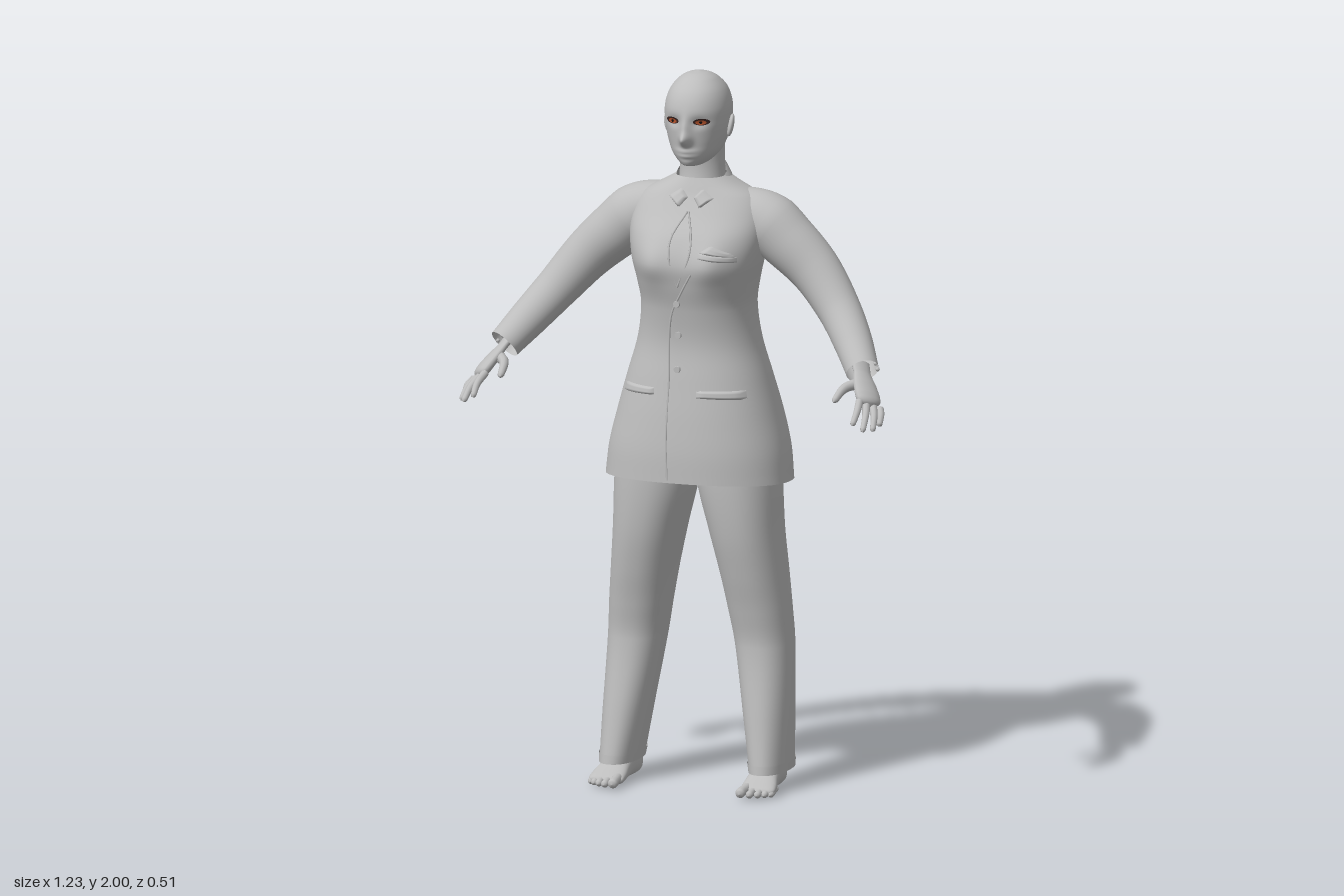
import * as THREE from 'three';
import { mergeVertices } from 'three/addons/utils/BufferGeometryUtils.js';

const mat = (name, color) => Object.assign(new THREE.MeshStandardMaterial({ color }), { name, side: THREE.DoubleSide });
const gauss = (d, s) => Math.exp(-(d * d) / (2 * s * s));
const spow = (v, p) => Math.sign(v) * Math.abs(v) ** p;

// Smoothly interpolate a table of [height, centreX, halfWidth, front, back]
function sectionAt(T, y) {
  let i = 0;
  while (i < T.length - 2 && y > T[i + 1][0]) i++;
  const slope = (k, c) => {
    const a = T[Math.max(k - 1, 0)], b = T[Math.min(k + 1, T.length - 1)];
    return (b[c] - a[c]) / (b[0] - a[0]);
  };
  const h = T[i + 1][0] - T[i][0], t = (y - T[i][0]) / h, t2 = t * t, t3 = t2 * t;
  return [1, 2, 3, 4].map(c => (2 * t3 - 3 * t2 + 1) * T[i][c] + (t3 - 2 * t2 + t) * h * slope(i, c)
    + (3 * t2 - 2 * t3) * T[i + 1][c] + (t3 - t2) * h * slope(i + 1, c));
}

// Skin of superellipse rings through a section table
function loft(T, { n = 2, sides = 48, rows = 6, bump = null, tilt = () => 0 } = {}) {
  const pos = [], idx = [], ys = [];
  for (let i = 0; i < T.length - 1; i++)
    for (let k = 0; k < rows; k++) ys.push(T[i][0] + (T[i + 1][0] - T[i][0]) * k / rows);
  ys.push(T[T.length - 1][0]);
  ys.forEach((y, r) => {
    const [cx, w, zf, zb] = sectionAt(T, y);
    for (let j = 0; j < sides; j++) {
      const a = j / sides * Math.PI * 2, s = spow(Math.sin(a), 2 / n), x = w * spow(Math.cos(a), 2 / n);
      const z = (zf + zb) / 2 + (zf - zb) / 2 * s + (bump && s > 0 ? bump(x, y) * s : 0);
      pos.push(cx + x, y + tilt(y) * Math.sin(a), z);
      if (r < ys.length - 1) {
        const A = r * sides + j, B = r * sides + (j + 1) % sides;
        idx.push(A, A + sides, B, B, A + sides, B + sides);
      }
    }
  });
  const g = new THREE.BufferGeometry();
  g.setAttribute('position', new THREE.Float32BufferAttribute(pos, 3));
  g.setIndex(idx);
  g.computeVertexNormals();
  return g;
}

// Front depth of a lofted form at (x, y)
function frontZ(T, n, bump, x, y) {
  const [cx, w, zf, zb] = sectionAt(T, y);
  const s = Math.max(0, 1 - Math.abs((x - cx) / w) ** n) ** (1 / n);
  return (zf + zb) / 2 + ((zf - zb) / 2 + bump(x, y)) * s;
}

// Tapered tube, optionally rounded at the tip and flattened along a direction
function taper(points, radii, { segs = 24, sides = 16, round = 0, flat = null, k = 1 } = {}) {
  const curve = new THREE.CatmullRomCurve3(points.map(p => new THREE.Vector3(...p)));
  const g = new THREE.TubeGeometry(curve, segs, 1, sides);
  const p = g.attributes.position, v = new THREE.Vector3();
  for (let i = 0; i < p.count; i++) {
    const t = Math.floor(i / (sides + 1)) / segs, c = curve.getPointAt(t);
    const f = t * (radii.length - 1), b = Math.min(Math.floor(f), radii.length - 2);
    let r = radii[b] + (radii[b + 1] - radii[b]) * (f - b);
    if (round && t > 1 - round) r *= Math.sqrt(Math.max(0.001, 1 - ((t - 1 + round) / round) ** 2));
    v.fromBufferAttribute(p, i).sub(c).multiplyScalar(r);
    if (flat) v.addScaledVector(flat, (k - 1) * v.dot(flat));
    p.setXYZ(i, v.x + c.x, v.y + c.y, v.z + c.z);
  }
  g.deleteAttribute('uv');
  g.deleteAttribute('normal');
  const m = mergeVertices(g, 1e-6);
  m.computeVertexNormals();
  return m;
}

const JACKET = [
  [0.86, 0, 0.262, 0.128, -0.25], [0.95, 0, 0.252, 0.124, -0.255], [1.05, 0, 0.228, 0.112, -0.248],
  [1.15, 0, 0.2, 0.095, -0.225], [1.25, 0, 0.171, 0.08, -0.205], [1.35, 0, 0.158, 0.09, -0.202],
  [1.42, 0, 0.168, 0.106, -0.208], [1.48, 0, 0.182, 0.113, -0.21], [1.55, 0, 0.193, 0.088, -0.207],
  [1.61, 0, 0.188, 0.045, -0.19], [1.655, 0, 0.16, 0.015, -0.172], [1.685, 0, 0.105, 0, -0.16],
  [1.705, 0, 0.07, -0.01, -0.15]];
const HEAD = [
  [1.742, 0, 0.004, -0.02, -0.06], [1.746, 0, 0.025, 0.028, -0.08], [1.757, 0, 0.043, 0.044, -0.105],
  [1.78, 0, 0.064, 0.052, -0.13], [1.81, 0, 0.077, 0.055, -0.148], [1.84, 0, 0.085, 0.058, -0.159],
  [1.87, 0, 0.089, 0.062, -0.165], [1.91, 0, 0.089, 0.06, -0.163], [1.95, 0, 0.077, 0.042, -0.146],
  [1.98, 0, 0.053, 0.01, -0.113], [1.994, 0, 0.029, -0.018, -0.083], [2, 0, 0.001, -0.049, -0.051]];
const bust = (x, y) => 0.02 * gauss(Math.abs(x) - 0.09, 0.035) * gauss(y - 1.485, 0.045);
const face = (x, y) => 0.029 * gauss(x, 0.011) * gauss(y - 1.826, 0.013)
  + 0.013 * gauss(x, 0.01) * gauss(y - 1.853, 0.022)
  - 0.009 * gauss(Math.abs(x) - 0.037, 0.016) * gauss(y - 1.873, 0.011)
  + 0.007 * gauss(x, 0.018) * (gauss(y - 1.791, 0.005) + gauss(y - 1.778, 0.005))
  + 0.006 * gauss(x, 0.02) * gauss(y - 1.757, 0.01);
const chestZ = (x, y) => frontZ(JACKET, 2.3, bust, x, y);

export function createModel() {
  const model = new THREE.Group();
  const grey = mat('plainGrey', 0xbdbdbd), dark = mat('lashDark', 0x3a2523);
  const amber = mat('irisAmber', 0xb5532c), black = mat('pupilBlack', 0x141010);
  const add = (name, geo, m = grey) => {
    const o = new THREE.Mesh(geo, m);
    o.name = name;
    model.add(o);
    return o;
  };
  // Thin panel laid on the chest, corners in order around it
  const panel = (name, c, off) => {
    const g = new THREE.PlaneGeometry(1, 1, 10, 6), p = g.attributes.position;
    for (let i = 0; i < p.count; i++) {
      const u = p.getX(i) + 0.5, v = p.getY(i) + 0.5;
      const at = k => (c[0][k] * (1 - u) + c[1][k] * u) * (1 - v) + (c[3][k] * (1 - u) + c[2][k] * u) * v;
      const edge = u < 0.01 || u > 0.99 || v < 0.01 || v > 0.99;
      p.setXYZ(i, at(0), at(1), chestZ(at(0), at(1)) + (edge ? 0 : off));
    }
    g.computeVertexNormals();
    add(name, g);
  };
  const seam = (name, pts) => add(name, new THREE.TubeGeometry(new THREE.CatmullRomCurve3(
    pts.map(([x, y]) => new THREE.Vector3(x, y, chestZ(x, y)))), 40, 0.003, 6));
  // Oval laid on the face
  const faceOval = (name, cx, cy, rx, ry, off, m) => {
    const g = new THREE.RingGeometry(0, 1, 24, 4), p = g.attributes.position;
    for (let i = 0; i < p.count; i++) {
      const x = cx + p.getX(i) * rx, y = cy + p.getY(i) * ry;
      p.setXYZ(i, x, y, frontZ(HEAD, 2.1, face, x, y) + off);
    }
    g.computeVertexNormals();
    add(name, g, m);
  };

  // Head and neck
  add('head', loft(HEAD, { n: 2.1, sides: 128, rows: 8, bump: face }));
  add('neck', loft([[1.65, 0, 0.07, -0.005, -0.15], [1.7, 0, 0.064, -0.018, -0.146],
    [1.75, 0, 0.062, -0.02, -0.142], [1.82, 0, 0.064, -0.01, -0.142]]));

  // Jacket body, collar and details
  add('jacketBody', loft(JACKET, { n: 2.3, sides: 96, bump: bust, tilt: y => 0.012 * Math.max(0, 1 - (y - 0.86) / 0.15) }));
  add('collar', loft([[1.665, 0, 0.094, 0.022, -0.168], [1.69, 0, 0.082, 0.008, -0.16], [1.712, 0, 0.07, -0.008, -0.149]],
    { tilt: () => -0.032 }));
  seam('frontEdge', [[0.035, 1.46], [0, 1.4], [-0.033, 1.33], [-0.036, 1.15], [-0.036, 1], [-0.03, 0.88]]);
  seam('necklineRight', [[-0.002, 1.62], [-0.033, 1.55], [-0.03, 1.5], [-0.008, 1.42]]);
  seam('necklineLeft', [[0.002, 1.62], [0.026, 1.55], [0.025, 1.5], [-0.008, 1.42]]);
  panel('pocketFlapRight', [[-0.19, 1.105], [-0.08, 1.11], [-0.08, 1.13], [-0.185, 1.13]], 0.007);
  panel('pocketFlapLeft', [[0.045, 1.11], [0.175, 1.105], [0.17, 1.13], [0.045, 1.13]], 0.007);
  panel('breastPocket', [[0.055, 1.505], [0.15, 1.49], [0.15, 1.507], [0.055, 1.522]], 0.006);
  panel('pocketSquare', [[0.055, 1.52], [0.15, 1.505], [0.135, 1.518], [0.085, 1.54]], 0.009);
  for (const y of [1.37, 1.28, 1.185]) {
    const b = add('jacketButton', new THREE.CylinderGeometry(0.009, 0.01, 0.008, 16));
    b.rotation.x = Math.PI / 2;
    b.position.set(-0.013, y, chestZ(-0.013, y) + 0.002);
  }
  const vent = [0.86, 0.93, 1, 1.09].map(y => new THREE.Vector3(0, y, sectionAt(JACKET, y)[3]));
  add('backVent', new THREE.TubeGeometry(new THREE.CatmullRomCurve3(vent), 20, 0.003, 6));

  for (const s of [1, -1]) {
    const S = s > 0 ? 'left' : 'right', mx = pts => pts.map(([x, y, z]) => [x * s, y, z]);

    // Eye and ear
    faceOval(S + 'Lashes', 0.042 * s, 1.876, 0.021, 0.0095, 0.002, dark);
    faceOval(S + 'Iris', 0.041 * s, 1.875, 0.014, 0.0065, 0.004, amber);
    faceOval(S + 'Pupil', 0.041 * s, 1.875, 0.004, 0.004, 0.0055, black);
    const ear = add(S + 'Ear', new THREE.SphereGeometry(1, 20, 14));
    ear.scale.set(0.009, 0.032, 0.019);
    ear.position.set(0.09 * s, 1.85, -0.06);
    ear.rotation.set(-0.2, 0.35 * s, -0.12 * s);

    // Collar wing
    panel(S + 'CollarWing', [[0.008 * s, 1.655], [0.03 * s, 1.628], [0.065 * s, 1.655], [0.03 * s, 1.678]], 0.009);

    // Sleeve with cuff buttons
    add(S + 'Sleeve', taper(mx([[0.1, 1.6, -0.09], [0.18, 1.582, -0.09], [0.25, 1.528, -0.088], [0.33, 1.455, -0.08],
      [0.41, 1.36, -0.045], [0.47, 1.285, 0.01], [0.522, 1.217, 0.075]]),
      [0.074, 0.085, 0.077, 0.068, 0.06, 0.054, 0.046], { segs: 48, sides: 32 }));
    for (let i = 0; i < 3; i++) {
      const b = add(S + 'CuffButton', new THREE.SphereGeometry(0.006, 10, 8));
      b.position.set((0.554 - i * 0.01) * s, 1.217 + i * 0.013, 0.04 - i * 0.012);
    }

    // Hand
    const flat = new THREE.Vector3(0.68 * s, 0.69, 0.26).normalize();
    add(S + 'Palm', taper(mx([[0.51, 1.235, 0.06], [0.533, 1.198, 0.098], [0.555, 1.165, 0.13], [0.572, 1.137, 0.155]]),
      [0.03, 0.028, 0.037, 0.041, 0.038], { round: 0.15, flat, k: 0.42, segs: 32 }));
    const tips = [[0.553, 1.1, 0.248], [0.582, 1.084, 0.245], [0.6, 1.08, 0.212], [0.605, 1.087, 0.172]];
    tips.forEach((t, i) => {
      const base = [0.546 + 0.015 * i, 1.152 - 0.009 * i, 0.168 - 0.014 * i];
      const mid = base.map((b, k) => (b + t[k]) / 2 + [0.004, 0.005, 0.002][k]);
      add(S + 'Finger', taper(mx([base, mid, t]), [0.011, 0.0105, 0.009, 0.008], { round: 0.12, sides: 10 }));
    });
    add(S + 'Thumb', taper(mx([[0.525, 1.19, 0.11], [0.497, 1.182, 0.15], [0.486, 1.155, 0.212]]),
      [0.017, 0.014, 0.011, 0.009], { round: 0.12, sides: 10 }));

    // Trouser leg and turned hem
    add(S + 'TrouserLeg', loft([[0.06, 0.218 * s, 0.053, 0.07, -0.145], [0.2, 0.205 * s, 0.065, 0.047, -0.153],
      [0.4, 0.185 * s, 0.08, 0.018, -0.168], [0.5, 0.173 * s, 0.086, 0.03, -0.168], [0.6, 0.159 * s, 0.091, 0.05, -0.175],
      [0.72, 0.14 * s, 0.1, 0.069, -0.176], [0.86, 0.12 * s, 0.115, 0.076, -0.176], [1, 0.11 * s, 0.115, 0.07, -0.18]], { n: 2.2 }));
    add(S + 'TrouserHem', loft([[0.055, 0.218 * s, 0.054, 0.073, -0.148], [0.08, 0.216 * s, 0.057, 0.07, -0.151]], { n: 2.2 }));

    // Foot, lofted from heel to ball, then toes
    add(S + 'Foot', loft([[-0.122, 0.21 * s, 0.004, -0.02, -0.035], [-0.112, 0.21 * s, 0.024, -0.004, -0.06],
      [-0.08, 0.211 * s, 0.034, 0, -0.08], [-0.03, 0.213 * s, 0.037, -0.001, -0.09], [0.03, 0.216 * s, 0.044, -0.001, -0.066],
      [0.075, 0.22 * s, 0.05, 0, -0.042], [0.1, 0.22 * s, 0.045, -0.004, -0.028], [0.108, 0.218 * s, 0.02, -0.01, -0.02]],
      { n: 2.3 }).rotateX(Math.PI / 2));
    [[0.186, 0.143, 0.014], [0.211, 0.138, 0.0105], [0.231, 0.129, 0.01], [0.248, 0.118, 0.0095], [0.262, 0.105, 0.009]]
      .forEach(([x, z, r]) => add(S + 'Toe', taper([[(x * 0.9 + 0.0218) * s, r + 0.008, z - 0.06],
        [x * s, r + 0.005, z - 0.025], [x * s, r, z]], [r, r * 0.95, r * 1.05], { round: 0.2, sides: 12 })));
  }
  return model;
}
